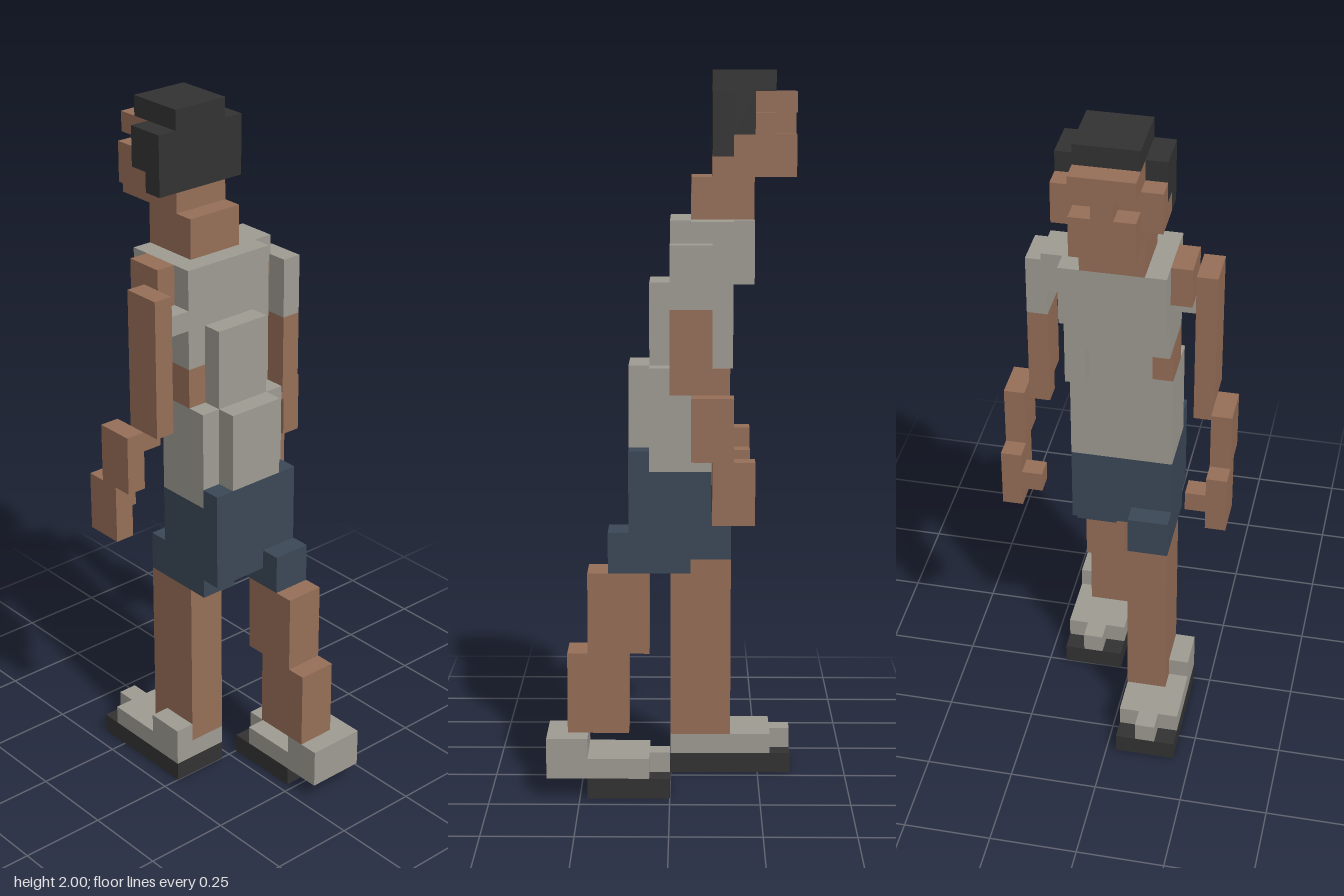
import * as THREE from 'three';

const U = 2 / 35; // edge of one block

export function createModel() {
  const model = new THREE.Group();
  model.name = 'walkingFigure';

  const mat = (name, color) => {
    const m = new THREE.MeshStandardMaterial({ color });
    m.name = name;
    return m;
  };
  const skin = mat('skin', 0x976f58);
  const cloth = mat('paleGrey', 0xa09c94);
  const navy = mat('navy', 0x3c4858);
  const black = mat('black', 0x333333);

  // Block given by its low and high grid corners: x 0..11, y 0..35, z 0..12
  const part = (name, material, [x0, y0, z0], [x1, y1, z1], parent = model) => {
    const mesh = new THREE.Mesh(
      new THREE.BoxGeometry((x1 - x0) * U, (y1 - y0) * U, (z1 - z0) * U), material);
    mesh.position.set(((x0 + x1) / 2 - 5.5) * U, (y0 + y1) / 2 * U, ((z0 + z1) / 2 - 6) * U);
    mesh.name = name;
    parent.add(mesh);
  };
  const group = (name) => {
    const g = new THREE.Group();
    g.name = name;
    model.add(g);
    return g;
  };

  // Head: face with sunken eyes, ears, hair
  const head = group('head');
  part('skull', skin, [4, 30, 1], [7, 34, 2], head);
  part('jaw', skin, [4, 30, 0], [7, 32, 1], head);
  part('nose', skin, [5, 32, 0], [6, 33, 1], head);
  part('brow', skin, [4, 33, 0], [7, 34, 1], head);
  for (const x of [3, 7]) {
    part('ear', skin, [x, 31, 1], [x + 1, 33, 2], head);
    part('earLobe', skin, [x, 31, 2], [x + 1, 32, 3], head);
    part('sideHair', black, [x, 32, 2], [x + 1, 34, 3], head);
  }
  part('innerHair', black, [4, 31, 2], [7, 34, 3], head);
  part('backHair', black, [3, 31, 3], [8, 34, 4], head);
  part('topHair', black, [4, 34, 1], [7, 35, 4], head);
  part('upperNeck', skin, [4, 30, 2], [7, 31, 4], head);
  part('lowerNeck', skin, [4, 28, 2], [7, 30, 5], head);

  // Shirt, stepped along the curve of the back
  const torso = group('torso');
  part('chest', cloth, [3, 25, 2], [8, 28, 6], torso);
  part('ribs', cloth, [3, 23, 3], [8, 25, 6], torso);
  part('waist', cloth, [4, 21, 4], [8, 23, 6], torso);
  part('barePatch', skin, [3, 21, 4], [4, 23, 6], torso);
  part('shirtFold', cloth, [7, 21, 3], [8, 23, 4], torso);
  part('belly', cloth, [3, 16, 4], [8, 21, 7], torso);
  part('midBack', cloth, [4, 21, 6], [7, 25, 7], torso);
  part('shirtTail', cloth, [4, 17, 7], [7, 21, 8], torso);

  // Shoulders
  part('rightShoulder', skin, [2, 26, 3], [3, 28, 5], torso);
  part('rightSleeveEdge', cloth, [2, 25, 4], [3, 26, 6], torso);
  part('leftShoulder', cloth, [8, 27, 3], [9, 28, 5], torso);
  part('leftSleeveFront', cloth, [8, 26, 3], [9, 27, 4], torso);
  part('leftArmpit', skin, [8, 26, 4], [9, 27, 5], torso);

  // Arms, mirrored in x
  for (const left of [false, true]) {
    const arm = group(left ? 'leftArm' : 'rightArm');
    const inner = left ? 9 : 1, outer = left ? 10 : 0;
    part('upperArm', skin, [inner, 20, 4], [inner + 1, 24, 6], arm);
    part(left ? 'sleeve' : 'bareUpperArm', left ? cloth : skin,
      [inner, 24, 4], [inner + 1, 27, 6], arm);
    part('elbow', skin, [inner, 19, 4], [inner + 1, 20, 5], arm);
    part('forearm', skin, [outer, 17, 3], [outer + 1, 20, 5], arm);
    part('hand', skin, [outer, 14, 2], [outer + 1, 17, 4], arm);
    part('thumb', skin, [inner, 15, 2], [inner + 1, 16, 3], arm);
  }

  // Shorts
  const shorts = group('shorts');
  part('hips', navy, [3, 12, 4], [8, 16, 8], shorts);
  part('seat', navy, [3, 16, 7], [8, 17, 8], shorts);
  part('rightCuff', navy, [3, 11, 4], [5, 12, 7], shorts);
  part('rightCuffFront', navy, [3, 11, 3], [5, 13, 4], shorts);
  part('leftCuff', navy, [6, 11, 5], [8, 12, 8], shorts);
  part('leftCuffBack', navy, [6, 11, 8], [8, 13, 9], shorts);

  // Right leg, stepping ahead
  const rightLeg = group('rightLeg');
  part('leg', skin, [3, 2, 3], [5, 11, 6], rightLeg);
  part('sole', black, [2, 0, 0], [5, 1, 6], rightLeg);
  part('shoe', cloth, [2, 1, 1], [5, 2, 6], rightLeg);
  part('toeCap', cloth, [3, 1, 0], [4, 2, 1], rightLeg);
  part('shoeCollar', cloth, [2, 2, 4], [3, 3, 6], rightLeg);

  // Left leg, trailing with the heel raised
  const leftLeg = group('leftLeg');
  part('thigh', skin, [6, 7, 7], [8, 11, 10], leftLeg);
  part('shin', skin, [6, 3, 8], [8, 7, 11], leftLeg);
  part('sole', black, [6, 0, 6], [9, 1, 10], leftLeg);
  part('shoe', cloth, [6, 1, 7], [9, 2, 10], leftLeg);
  part('toeCap', cloth, [7, 1, 6], [8, 2, 7], leftLeg);
  part('heel', cloth, [6, 1, 10], [9, 3, 12], leftLeg);

  return model;
}
